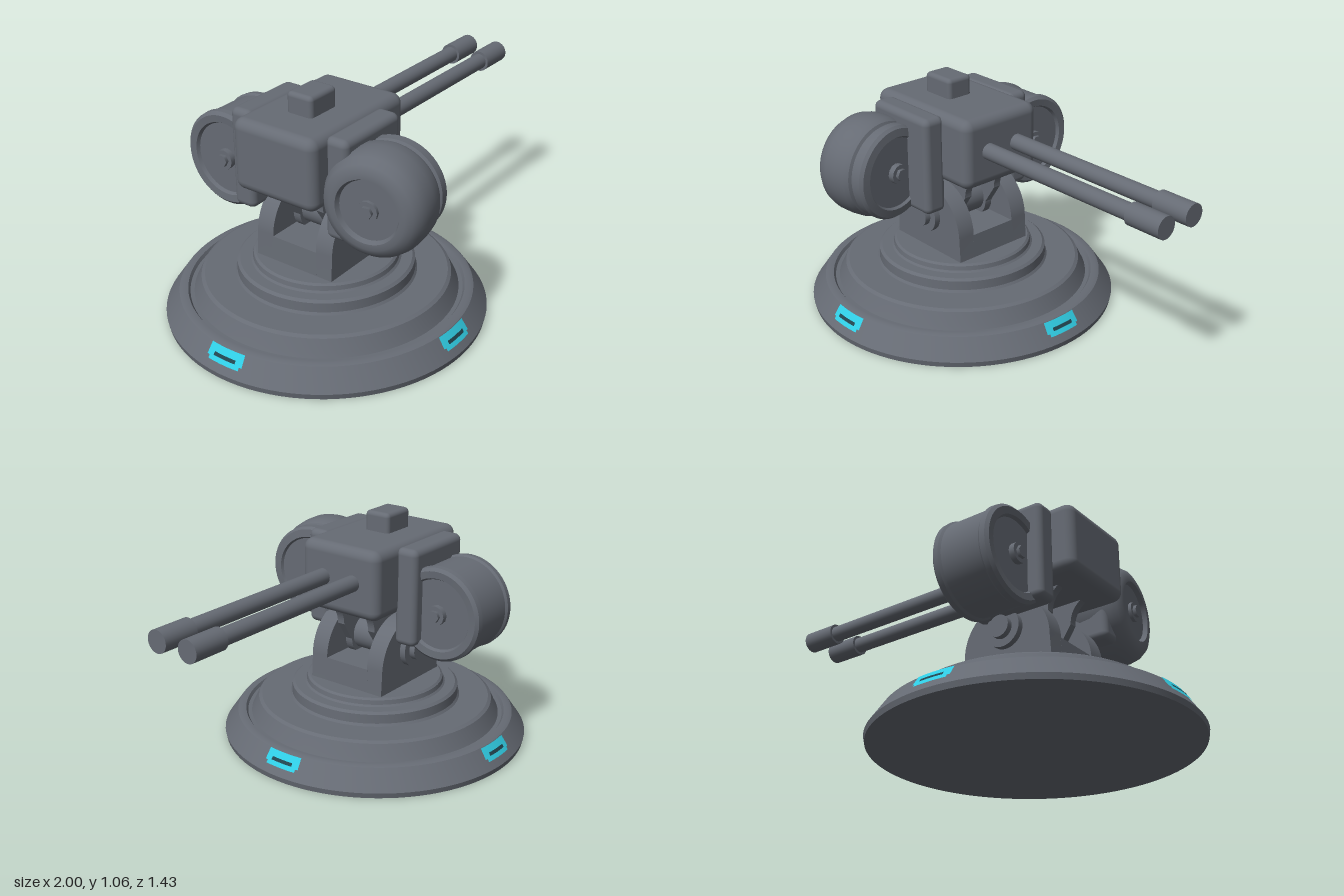
import * as THREE from 'three';
import { toCreasedNormals } from 'three/addons/utils/BufferGeometryUtils.js';
import { RoundedBoxGeometry } from 'three/addons/geometries/RoundedBoxGeometry.js';

const CX = -0.285; // axis of the turntable

export function createModel() {
  const model = new THREE.Group();
  model.name = 'twinBarrelTurret';
  const material = (name, color) => {
    const m = new THREE.MeshStandardMaterial({ color });
    m.name = name;
    return m;
  };
  const steel = material('steelGrey', 0x666b74);
  const cyan = material('lightCyan', 0x30cde4);
  const dark = material('slotDark', 0x20444e);

  const add = (name, geometry, mat, x = 0, y = 0, z = 0, parent = model) => {
    const mesh = new THREE.Mesh(geometry, mat);
    mesh.name = name;
    mesh.position.set(x, y, z);
    parent.add(mesh);
    return mesh;
  };
  const lathe = (points, segments = 64) => toCreasedNormals(
    new THREE.LatheGeometry(points.map(([r, y]) => new THREE.Vector2(r, y)), segments), 0.5);
  // Box given by its limits on each axis
  const box = (name, [x0, x1], [y0, y1], [z0, z1], radius) => add(name,
    new RoundedBoxGeometry(x1 - x0, y1 - y0, z1 - z0, 4, radius), steel,
    (x0 + x1) / 2, (y0 + y1) / 2, (z0 + z1) / 2);
  // Side profile extruded along z from z0 to z1
  const slab = (name, shape, z0, z1) => add(name, toCreasedNormals(
    new THREE.ExtrudeGeometry(shape, { depth: z1 - z0, bevelEnabled: false, curveSegments: 24 }), 0.5),
  steel, CX, 0, z0);
  const cylinderX = (name, r, x0, x1, y, z) => add(name,
    new THREE.CylinderGeometry(r, r, x1 - x0, 32).rotateZ(-Math.PI / 2), steel, (x0 + x1) / 2, y, z);
  const cylinderZ = (name, r, z0, z1, y) => add(name,
    new THREE.CylinderGeometry(r, r, z1 - z0, 32).rotateX(Math.PI / 2), steel, CX, y, (z0 + z1) / 2);

  // Stepped round base
  add('base', lathe([
    [0, 0], [0.708, 0], [0.713, 0.025], [0.65, 0.115], [0.635, 0.121], [0.612, 0.12],
    [0.603, 0.106], [0.585, 0.106], [0.575, 0.125], [0.55, 0.178], [0.535, 0.187],
    [0.4, 0.187], [0.392, 0.198], [0.39, 0.24], [0.378, 0.25], [0.33, 0.25],
    [0.322, 0.258], [0.318, 0.278], [0.308, 0.286], [0, 0.286],
  ], 96), steel, CX);

  // Four lights, each with a dark slot, lying on the sloping rim
  const rimRadius = (y) => 0.713 - (y - 0.025) * 0.7;
  const rimPatch = (name, mat, y0, y1, halfAngle, lift, turn) => add(name,
    new THREE.CylinderGeometry(rimRadius(y1) + lift, rimRadius(y0) + lift, y1 - y0, 10, 1, true,
      turn - halfAngle, 2 * halfAngle), mat, CX, (y0 + y1) / 2, 0);
  for (let i = 0; i < 4; i++) {
    const turn = i * Math.PI / 2;
    rimPatch('rimLight', cyan, 0.07, 0.115, 0.134, 0.004, turn);
    rimPatch('rimLightLower', cyan, 0.058, 0.07, 0.115, 0.004, turn);
    rimPatch('rimLightSlot', dark, 0.077, 0.09, 0.083, 0.007, turn);
  }

  // Yoke: foot block and two arched cheeks
  const cheek = new THREE.Shape();
  cheek.moveTo(-0.225, 0.28);
  cheek.lineTo(0.225, 0.28);
  cheek.lineTo(0.218, 0.39);
  cheek.absarc(0, 0.39, 0.218, 0, Math.PI, false);
  cheek.closePath();
  const foot = new THREE.Shape();
  foot.moveTo(-0.225, 0.28);
  foot.lineTo(0.225, 0.28);
  foot.lineTo(0.218, 0.395);
  foot.lineTo(-0.218, 0.395);
  foot.closePath();
  slab('yokeFoot', foot, -0.12, 0.12);

  // Neck lugs that carry the head on the pin
  const lug = new THREE.Shape();
  lug.moveTo(0.09, 0.46);
  lug.lineTo(0.15, 0.55);
  lug.quadraticCurveTo(0.15, 0.62, 0.22, 0.66);
  lug.lineTo(-0.22, 0.66);
  lug.quadraticCurveTo(-0.15, 0.62, -0.15, 0.55);
  lug.lineTo(-0.09, 0.46);
  lug.absarc(0, 0.46, 0.09, Math.PI, 2 * Math.PI, false);

  for (const s of [-1, 1]) {
    const span = (a, b) => (s > 0 ? [a, b] : [-b, -a]);
    slab('yokeCheek', cheek, ...span(0.115, 0.2));
    slab('neckLug', lug, ...span(0.068, 0.105));
    cylinderZ('pinWasher', 0.085, ...span(0.195, 0.228), 0.46);
    cylinderZ('pinCap', 0.05, ...span(0.22, 0.255), 0.46);
    // Side plates and barrels
    box('sidePlate', [-0.535, -0.16], [0.51, 0.96], span(0.19, 0.3), 0.03);
    cylinderX('barrel', 0.037, -0.03, 0.85, 0.815, s * 0.081);
    cylinderX('muzzle', 0.049, 0.83, 1, 0.815, s * 0.081);
  }
  cylinderZ('pivotPin', 0.078, -0.12, 0.12, 0.475);

  // Head and top hatch
  box('head', [-0.63, 0], [0.65, 0.97], [-0.21, 0.21], 0.045);
  box('hatch', [-0.45, -0.28], [0.94, 1.06], [-0.065, 0.065], 0.02);

  // Drum turned about x, with a hub on both faces
  const drum = (name, profile, hubReach, x, y, z, turn) => {
    const group = new THREE.Group();
    group.name = name;
    group.position.set(x, y, z);
    group.rotation.y = turn;
    model.add(group);
    add('drumShell', lathe(profile).rotateZ(-Math.PI / 2), steel, 0, 0, 0, group);
    const hub = new THREE.CylinderGeometry(0.045, 0.045, hubReach * 2, 12).rotateZ(-Math.PI / 2);
    add('drumHub', hub, steel, 0, 0, 0, group);
    const bolt = new THREE.CylinderGeometry(0.028, 0.028, hubReach * 2 + 0.03, 6).rotateZ(-Math.PI / 2);
    add('drumBolt', bolt, steel, 0, 0, 0, group);
  };
  // Bulbous drum with a rounded back edge
  drum('bulgedDrum', [
    [0, -0.14], [0.13, -0.14], [0.14, -0.16], [0.165, -0.16], [0.195, -0.145], [0.217, -0.115],
    [0.228, -0.075], [0.23, -0.02], [0.226, 0.03], [0.215, 0.055], [0.202, 0.062], [0.202, 0.072],
    [0.214, 0.08], [0.214, 0.12], [0.203, 0.135], [0.168, 0.14], [0.16, 0.128], [0, 0.128],
  ], 0.155, -0.405, 0.71, 0.395, 0.14);
  // Straight drum with raised rims
  drum('straightDrum', [
    [0, -0.125], [0.16, -0.125], [0.168, -0.14], [0.2, -0.143], [0.214, -0.13], [0.216, -0.105],
    [0.208, -0.095], [0.208, 0.095], [0.216, 0.105], [0.214, 0.13], [0.2, 0.143],
    [0.168, 0.14], [0.16, 0.125], [0, 0.125],
  ], 0.15, -0.345, 0.677, -0.385, 0);

  return model;
}
